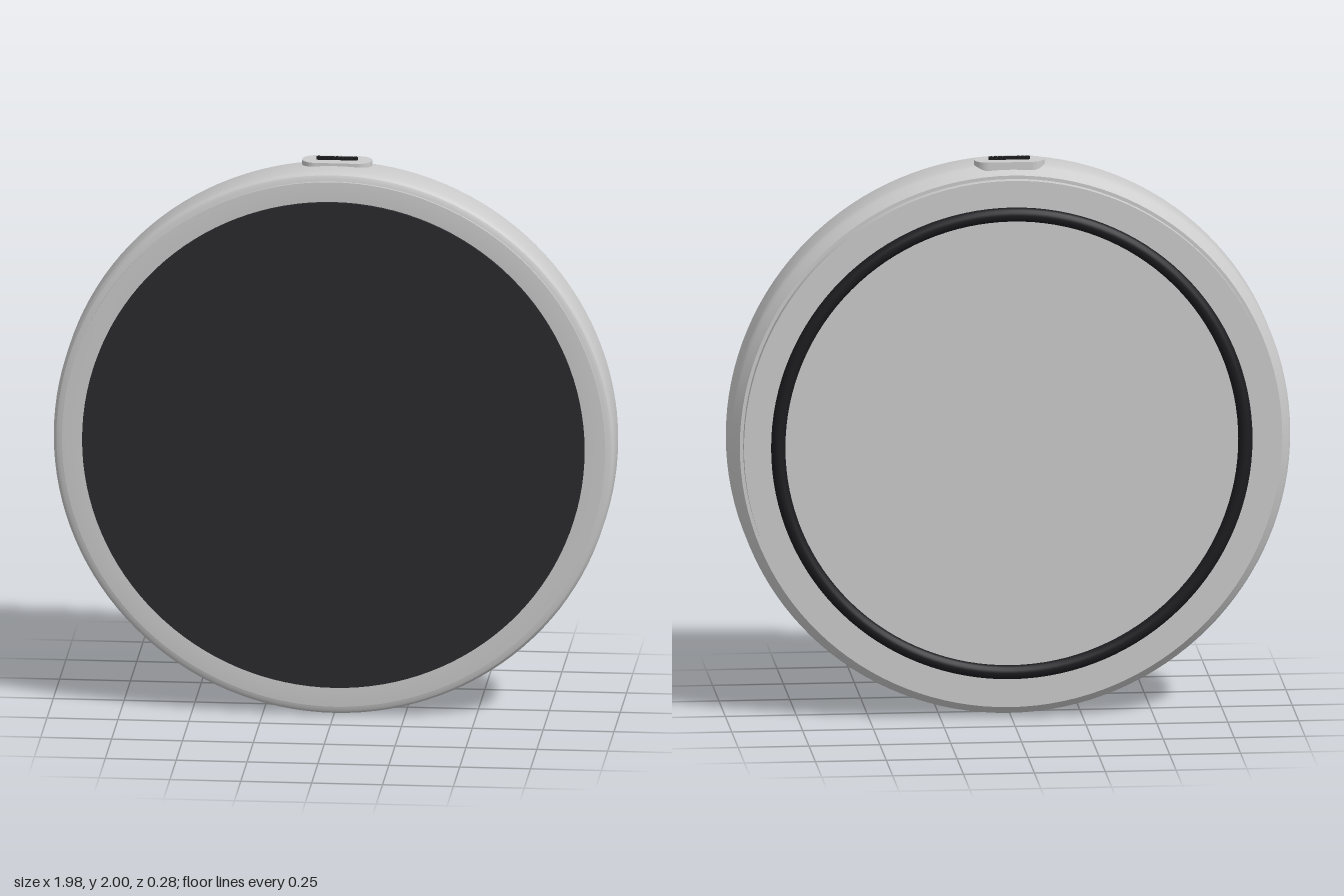
import * as THREE from 'three';
import { toCreasedNormals } from 'three/addons/utils/BufferGeometryUtils.js';

const CENTER_Y = 0.99;

export function createModel() {
  const model = new THREE.Group();
  const grey = new THREE.MeshStandardMaterial({ color: 0xcccccc });
  const black = new THREE.MeshStandardMaterial({ color: 0x2a2a2e });
  const rubber = new THREE.MeshStandardMaterial({ color: 0x1c1c20 });

  const add = (name, geometry, material, parent = model) => {
    const mesh = new THREE.Mesh(geometry, material);
    mesh.name = name;
    parent.add(mesh);
    return mesh;
  };

  // Round parts: [radius, z] profile from back to front, spun about the z axis
  const disc = (name, profile, material) => {
    const points = profile.map(([r, z]) => new THREE.Vector2(r, z));
    const geometry = new THREE.LatheGeometry(points, 128).rotateX(Math.PI / 2);
    add(name, toCreasedNormals(geometry, 0.45), material).position.y = CENTER_Y;
  };

  // Case with chamfered rims
  disc('case', [
    [0, -0.088], [0.957, -0.088], [0.962, -0.08], [0.98, -0.056], [0.987, -0.045], [0.99, -0.032],
    [0.99, 0.094], [0.987, 0.106], [0.979, 0.116], [0.966, 0.122], [0, 0.122],
  ], grey);
  // Front bezel, easing down towards the pad
  disc('frontBezel', [[0.958, 0.115], [0.958, 0.13], [0.91, 0.132], [0.88, 0.13], [0, 0.13]], grey);
  disc('frontPad', [[0.886, 0.125], [0.886, 0.141], [0, 0.141]], black);
  disc('backPlate', [[0, -0.119], [0.945, -0.119], [0.945, -0.08]], grey);

  // Anti-slip ring on the back
  const foot = add('rubberRing', new THREE.TorusGeometry(0.824, 0.026, 16, 128), rubber);
  foot.position.set(0, CENTER_Y, -0.115);

  // Socket on the top edge
  const socket = new THREE.Group();
  socket.name = 'socket';
  socket.position.set(0, 0, -0.015);
  model.add(socket);
  const pill = (halfLength, radius, height) => {
    const c = halfLength - radius;
    const shape = new THREE.Shape();
    shape.absarc(c, 0, radius, -Math.PI / 2, Math.PI / 2);
    shape.absarc(-c, 0, radius, Math.PI / 2, Math.PI * 1.5);
    shape.closePath();
    return new THREE.ExtrudeGeometry(shape, { depth: height, bevelEnabled: false, curveSegments: 16 })
      .rotateX(-Math.PI / 2);
  };
  add('socketPlate', pill(0.124, 0.05, 0.03), grey, socket).position.y = 1.96;
  add('socketSlot', pill(0.073, 0.008, 0.02), rubber, socket).position.y = 1.975;

  // Row of contact pins along the slot
  const pin = new THREE.CylinderGeometry(0.009, 0.009, 0.02, 12);
  for (let i = -4; i <= 4; i++) {
    add('contactPin', pin, rubber, socket).position.set(i * 0.016, 1.99, 0);
  }
  return model;
}
